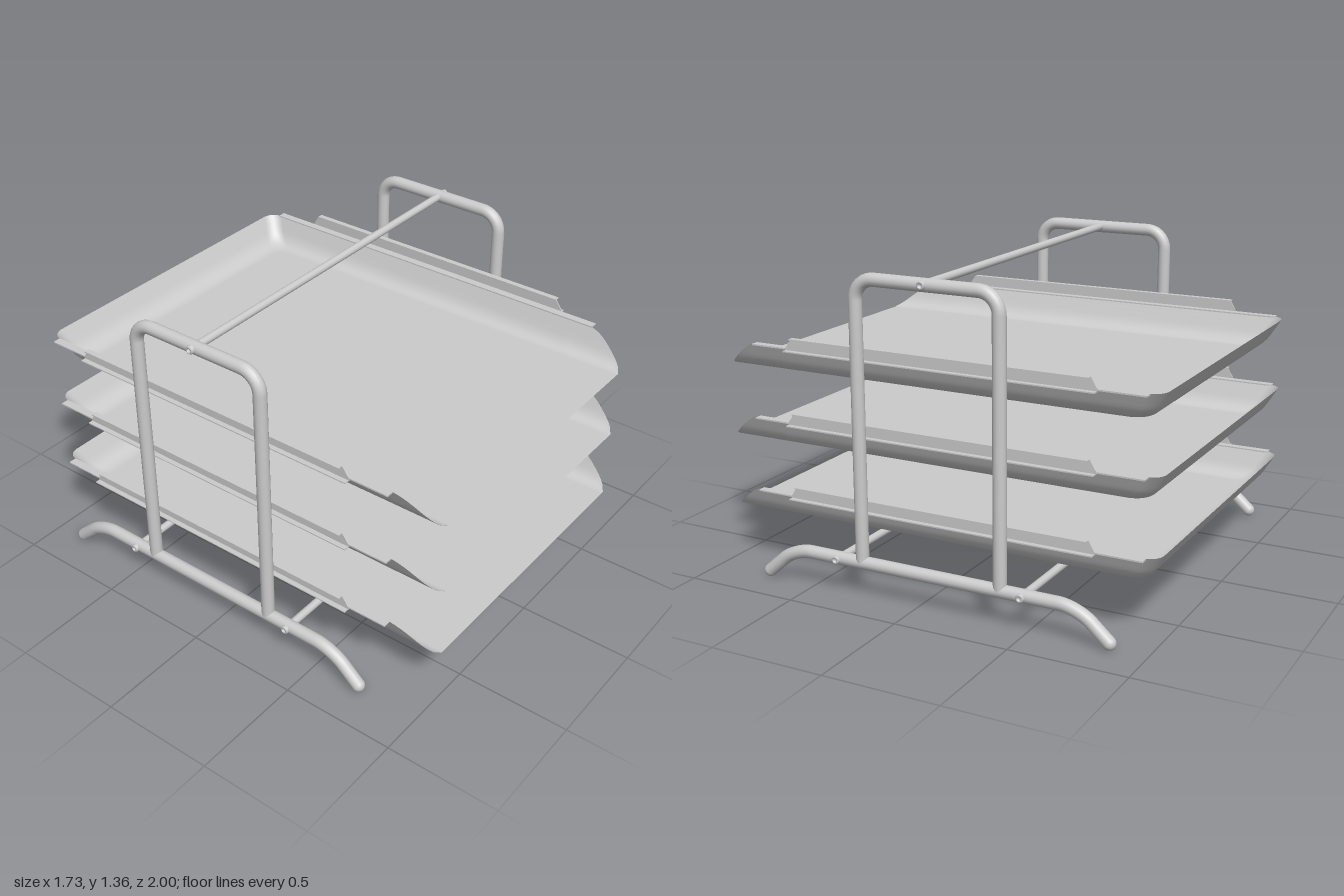
import * as THREE from 'three';

const metal = new THREE.MeshStandardMaterial({ color: 0xcccccc });
const sheet = new THREE.MeshStandardMaterial({ color: 0xcccccc, side: THREE.DoubleSide });
const RIM = 0.125, TUBE_R = 0.028, SIDE_X = 0.825;

function add(parent, name, geometry, material = metal) {
  const mesh = new THREE.Mesh(geometry, material);
  mesh.name = name;
  parent.add(mesh);
  return mesh;
}

// Polyline of [z, y] points in the plane x = 0, with its corners rounded
function roundedPath(points, cut) {
  const p = points.map(([z, y]) => new THREE.Vector3(0, y, z));
  const path = new THREE.CurvePath();
  let from = p[0];
  for (let i = 1; i < p.length - 1; i++) {
    const a = p[i].clone().add(p[i - 1].clone().sub(p[i]).setLength(cut));
    const b = p[i].clone().add(p[i + 1].clone().sub(p[i]).setLength(cut));
    path.add(new THREE.LineCurve3(from, a));
    // Handles that approximate a circular bend
    path.add(new THREE.CubicBezierCurve3(a, a.clone().lerp(p[i], 0.55), b.clone().lerp(p[i], 0.55), b));
    from = b;
  }
  path.add(new THREE.LineCurve3(from, p[p.length - 1]));
  return path;
}

// How far the tray wall lies inside the rim at height y
function wallInset(y) {
  if (y > 0.06) return 0.0286 * (RIM - y) / (RIM - 0.06);
  const t = Math.sqrt(y / 0.06);
  return 0.1 * (1 - t) ** 2 + 2 * 0.055 * t * (1 - t) + 0.0286 * t * t;
}

// Height of the side wall: level, then sloping down to the open front
function wallHeight(z) {
  const slope = 0.8 * (1 - z), k = 0.05;
  const blend = Math.max(k - Math.abs(RIM - slope), 0);
  return Math.max(Math.min(RIM, slope) - blend * blend / (4 * k), 0.001);
}

// Pressed tray shell: wall columns around the plan, then a flat floor
function trayShell() {
  const r = 0.06, W = 0.74, half = [];
  for (let i = 0; i <= 16; i++) {
    const z = 1 - 0.3 * i / 16;
    half.push({ h: wallHeight(z), at: d => [W - d, z] });
  }
  for (let i = 0; i <= 8; i++) {
    const a = i / 8 * Math.PI / 2;
    half.push({
      h: RIM,
      at: d => [W - r - d + r * Math.cos(a), -1 + r + 1.3 * d - r * Math.sin(a)],
    });
  }
  const mirrored = half.slice().reverse().map(c => ({
    h: c.h, at: d => { const [x, z] = c.at(d); return [-x, z]; },
  }));
  const columns = [...half, ...mirrored], rings = 12, row = rings + 1;
  const pos = [], index = [];
  for (const c of columns) {
    for (let k = 0; k <= rings; k++) {
      const y = c.h * (k / rings) ** 2;
      const [x, z] = c.at(wallInset(y));
      pos.push(x, y, z);
    }
  }
  const centre = pos.length / 3;
  pos.push(0, 0, 0);
  columns.forEach((c, i) => {
    const next = (i + 1) % columns.length;
    index.push(centre, i * row, next * row);
    if (next === 0) return;
    for (let k = 0; k < rings; k++) {
      const a = i * row + k, b = next * row + k;
      index.push(a, a + 1, b + 1, a, b + 1, b);
    }
  });
  const g = new THREE.BufferGeometry();
  g.setAttribute('position', new THREE.Float32BufferAttribute(pos, 3));
  g.setIndex(index);
  g.computeVertexNormals();
  return g;
}

// Upright web of the hanger with sloped ends, outline in z and y
function hangerWeb() {
  const s = new THREE.Shape();
  s.moveTo(-0.755, -0.01);
  s.lineTo(-0.755, 0.005);
  s.lineTo(-0.73, 0.047);
  s.lineTo(0.605, 0.047);
  s.lineTo(0.635, 0.005);
  s.lineTo(0.635, -0.01);
  const g = new THREE.ExtrudeGeometry(s, { depth: 0.005, bevelEnabled: false });
  return g.rotateY(-Math.PI / 2);
}

function makeTray(shell, web) {
  const tray = new THREE.Group();
  tray.name = 'tray';
  add(tray, 'trayShell', shell, sheet);
  for (const side of [1, -1]) {
    const flange = add(tray, 'rimFlange', new THREE.BoxGeometry(0.035, 0.006, 1.76));
    flange.position.set(side * 0.755, RIM - 0.003, -0.07);
    const upright = add(tray, 'hangerWeb', web);
    upright.position.set(side * 0.775 + 0.0025, RIM, 0);
    const top = add(tray, 'hangerTopLip', new THREE.BoxGeometry(0.024, 0.005, 1.335));
    top.position.set(side * 0.786, RIM + 0.0445, -0.0625);
    const bottom = add(tray, 'hangerBottomLip', new THREE.BoxGeometry(0.03, 0.005, 1.39));
    bottom.position.set(side * 0.784, RIM - 0.0085, -0.06);
  }
  return tray;
}

export function createModel() {
  const model = new THREE.Group();
  model.name = 'letterTrayStand';

  // Three stacked trays
  const shell = trayShell(), web = hangerWeb();
  for (const y of [0.235, 0.555, 0.873]) {
    const tray = makeTray(shell, web);
    tray.position.y = y;
    model.add(tray);
  }

  // Bent tube side frames
  const hoop = new THREE.TubeGeometry(
    roundedPath([[0.257, 0.15], [0.257, 1.332], [-0.378, 1.332], [-0.378, 0.15]], 0.085), 160, TUBE_R, 16);
  const footEnds = [[0.725, 0.03], [-0.845, 0.03]];
  const foot = new THREE.TubeGeometry(
    roundedPath([footEnds[0], [0.59, 0.15], [-0.71, 0.15], footEnds[1]], 0.08), 140, TUBE_R, 16);
  // Screw head with a sunk socket
  const screwProfile = [[0, 0.006], [0.009, 0.006], [0.009, 0.014], [0.014, 0.014], [0.018, 0.01], [0.018, -0.01]]
    .map(([r, y]) => new THREE.Vector2(r, y));
  const screw = new THREE.LatheGeometry(screwProfile.reverse(), 16);
  const rods = [[0.37, 0.15], [-0.48, 0.15], [-0.06, 1.335]];

  for (const side of [1, -1]) {
    const frame = new THREE.Group();
    frame.name = side > 0 ? 'leftFrame' : 'rightFrame';
    frame.position.x = side * SIDE_X;
    add(frame, 'hoop', hoop);
    add(frame, 'foot', foot);
    for (const [z, y] of footEnds) {
      add(frame, 'footTip', new THREE.SphereGeometry(TUBE_R, 16, 12)).position.set(0, y, z);
    }
    for (const [z, y] of rods) {
      const head = add(frame, 'screw', screw);
      head.position.set(side * 0.024, y, z);
      head.rotation.z = -side * Math.PI / 2;
    }
    model.add(frame);
  }

  // Cross rods joining the frames
  for (const [z, y] of rods) {
    const rod = add(model, 'crossRod', new THREE.CylinderGeometry(0.017, 0.017, 2 * SIDE_X, 16));
    rod.rotation.z = Math.PI / 2;
    rod.position.set(0, y, z);
  }
  return model;
}
